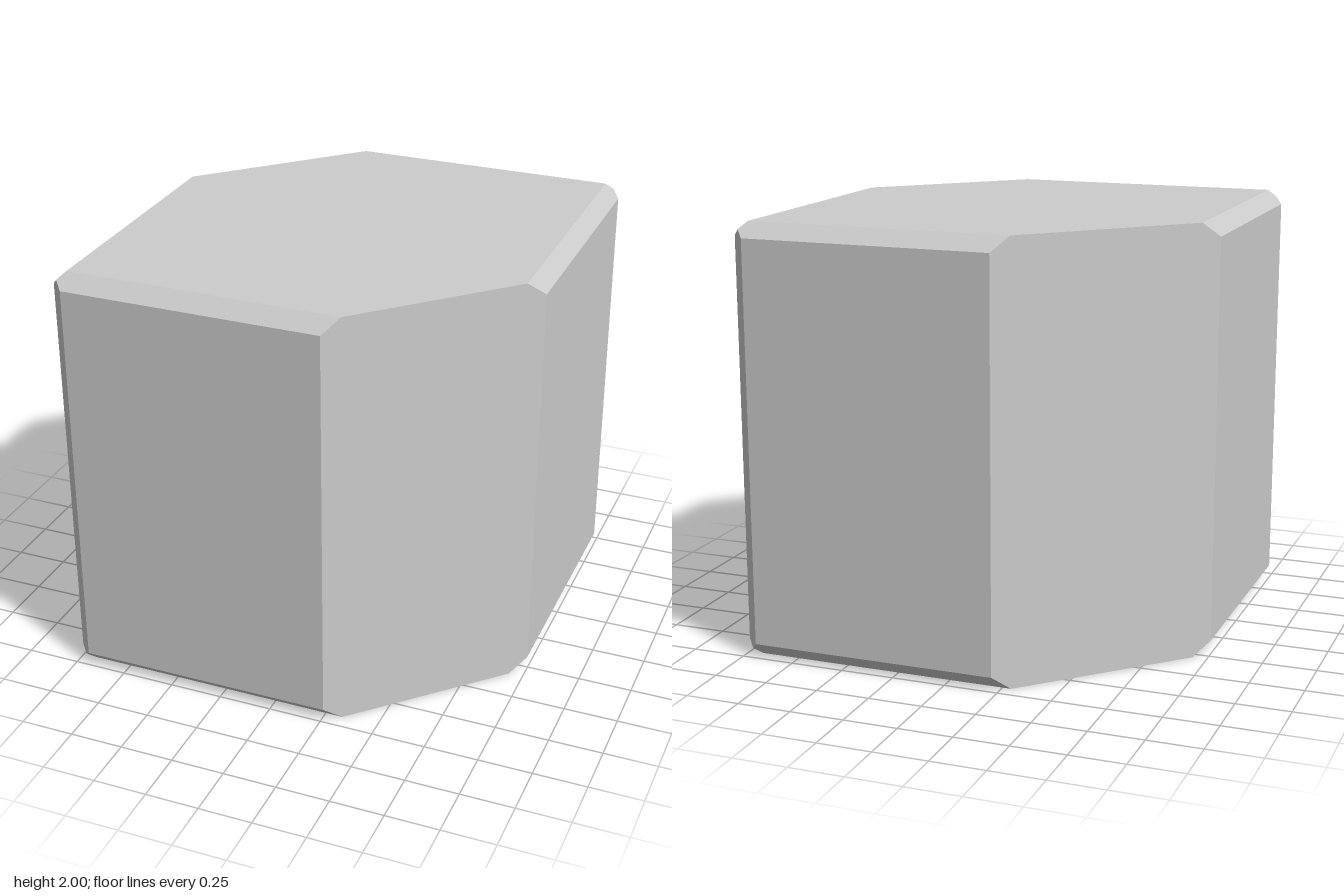
import * as THREE from 'three';
import { ConvexGeometry } from 'three/addons/geometries/ConvexGeometry.js';

const BEVEL = 0.067;      // edge chamfer of the cube
const CUT_FRONT = 1.265;  // vertical cut: x + z = 1.265
const CUT_BACK = 1.223;   // vertical cut: x + z = -1.223

export function createModel() {
  const group = new THREE.Group();
  const points = [];
  const inner = 1 - BEVEL, mid = 1 - BEVEL / 2;
  const add = (x, y, z) => points.push(new THREE.Vector3(x, y + 1, z));

  for (const top of [-1, 1]) {
    // the two bevelled corners: three chamfers meeting in a point
    for (const s of [-1, 1]) {
      add(s * inner, top, -s * inner);
      add(s, top * inner, -s * inner);
      add(s * inner, top * inner, -s);
      add(s * mid, top * mid, -s * mid);
    }
    // the two corners sliced off by a vertical plane
    for (const [s, cut] of [[1, CUT_FRONT], [-1, CUT_BACK]]) {
      add(s * inner, top, s * (cut - inner));
      add(s * (cut - inner), top, s * inner);
      add(s, top * inner, s * (cut - 1));
      add(s * (cut - 1), top * inner, s);
    }
  }

  const block = new THREE.Mesh(
    new ConvexGeometry(points),
    new THREE.MeshStandardMaterial({ color: 0xcccccc, flatShading: true })
  );
  block.name = 'chamferedBlock';
  group.add(block);
  return group;
}
